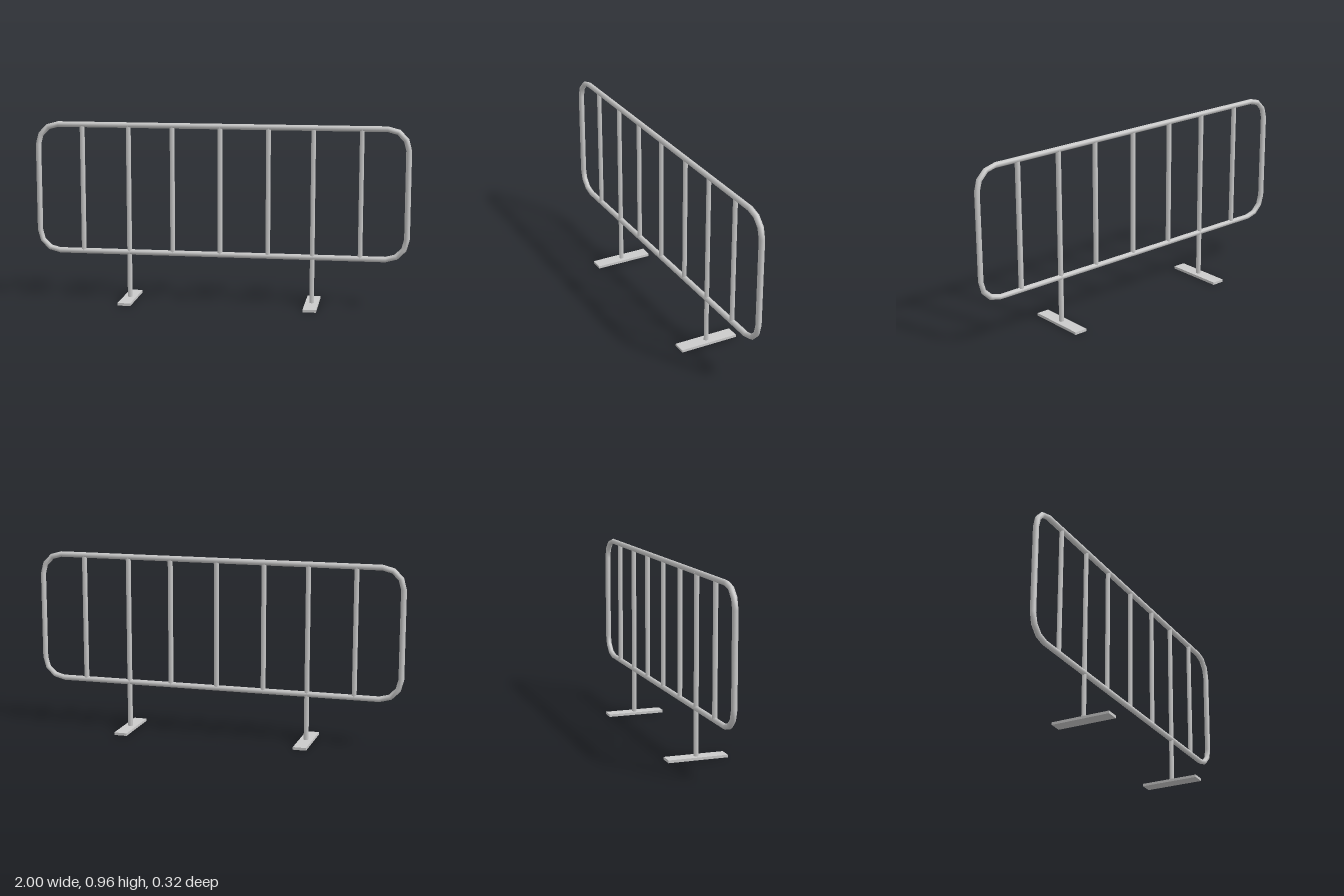
import * as THREE from 'three';

const material = new THREE.MeshStandardMaterial({ color: 0xcccccc });
const TOP = 0.96, BOTTOM = 0.245, TUBE = 0.015, BAR = 0.0135;

function add(group, name, geometry, x, y, z = 0) {
  const mesh = new THREE.Mesh(geometry, material);
  mesh.name = name;
  mesh.position.set(x, y, z);
  group.add(mesh);
  return mesh;
}

// Closed six-sided tube: a torus whose quarter turns are pulled out to the corners of a rectangle
function roundedLoop(width, height, bend, tube) {
  const steps = 3, rings = 4 * (steps + 1), sides = 6;
  const geometry = new THREE.TorusGeometry(bend, tube, sides, rings);
  const { position, normal } = geometry.attributes;
  const reach = bend + tube;
  for (let j = 0; j <= sides; j++) {
    for (let i = 0; i <= rings; i++) {
      const k = j * (rings + 1) + i, ring = i % rings;
      const corner = Math.floor(ring / (steps + 1));
      const u = (corner + (ring % (steps + 1)) / steps) * Math.PI / 2;
      const v = j / sides * Math.PI * 2;
      const sx = corner === 0 || corner === 3 ? 1 : -1, sy = corner < 2 ? 1 : -1;
      const r = bend + tube * Math.cos(v);
      position.setXYZ(k,
        sx * (width / 2 - reach) + r * Math.cos(u),
        sy * (height / 2 - reach) + r * Math.sin(u),
        tube * Math.sin(v));
      normal.setXYZ(k, Math.cos(v) * Math.cos(u), Math.cos(v) * Math.sin(u), Math.sin(v));
    }
  }
  return geometry;
}

export function createModel() {
  const group = new THREE.Group();
  group.name = 'crowdBarrier';

  // Outer frame
  add(group, 'frame', roundedLoop(2, TOP - BOTTOM, 0.11, TUBE), 0, (TOP + BOTTOM) / 2);

  // Upright bars; the two at the feet run on down to the ground
  const bar = (name, x, from) => {
    const to = TOP - TUBE;
    add(group, name, new THREE.CylinderGeometry(BAR, BAR, to - from, 6), x, (to + from) / 2);
  };
  bar('bar', 0, BOTTOM + TUBE);
  for (const side of [-1, 1]) {
    bar('bar', side * 0.256, BOTTOM + TUBE);
    bar('bar', side * 0.743, BOTTOM + TUBE);
    bar('post', side * 0.492, 0.01);
    // Flat foot plate
    add(group, 'foot', new THREE.BoxGeometry(0.07, 0.014, 0.318), side * 0.492, 0.007);
  }
  return group;
}
